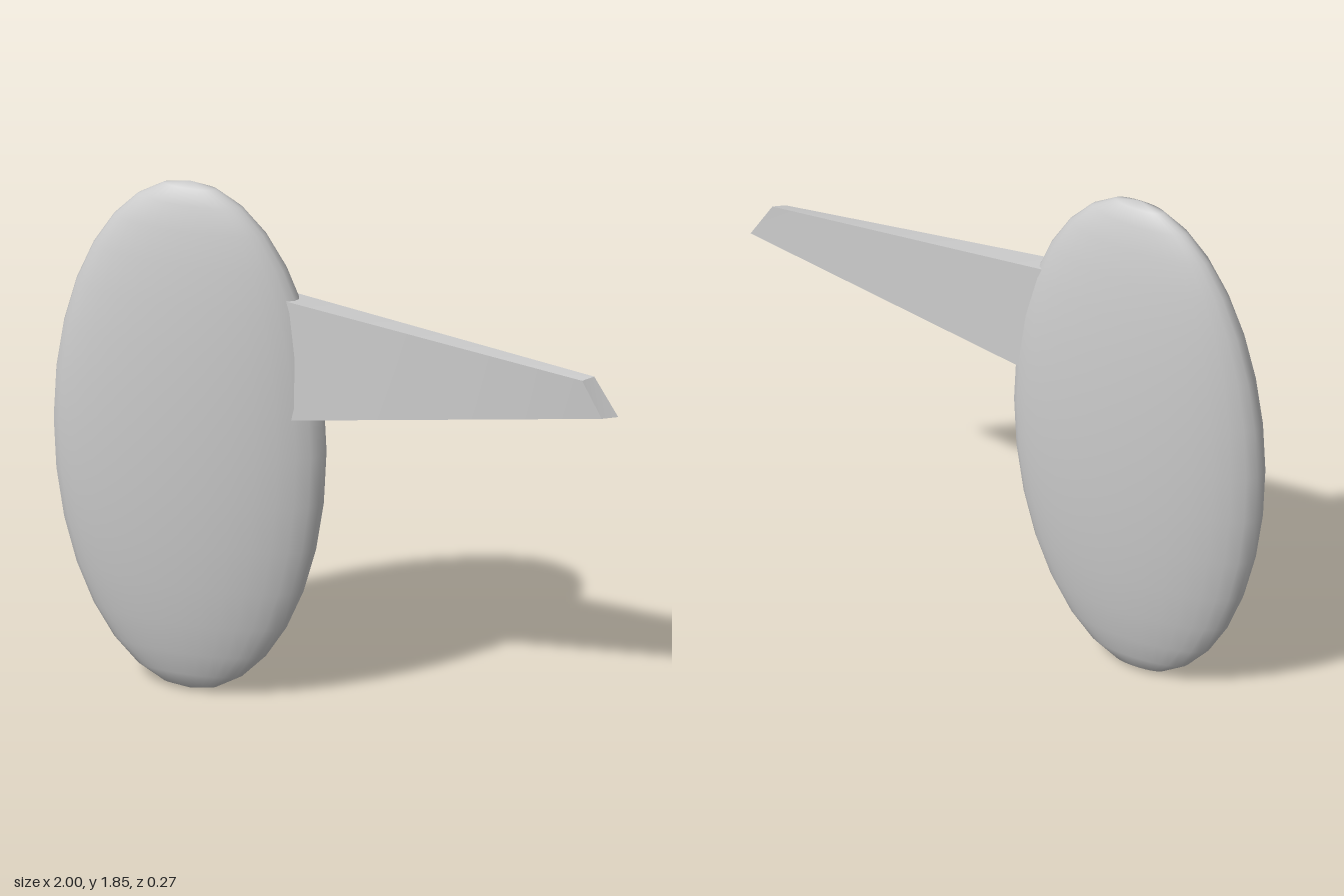
import * as THREE from 'three';

const material = new THREE.MeshStandardMaterial({ color: 0xcccccc });

// Flattened oval body
function makeBody() {
  const geometry = new THREE.SphereGeometry(1, 32, 16);
  geometry.scale(0.483, 0.925, 0.137);
  const body = new THREE.Mesh(geometry, material);
  body.name = 'body';
  body.position.set(-0.517, 0.925, 0);
  return body;
}

// Tapering arm: a box whose corners move to the root and the slanted tip
function makeArm() {
  const root = {
    topBack: [-0.2, 1.484, -0.04], topFront: [-0.2, 1.484, 0.042],
    bottomBack: [-0.2, 1.055, -0.052], bottomFront: [-0.2, 1.055, 0.081],
  };
  const tip = {
    topBack: [0.915, 1.35, 0], topFront: [0.885, 1.345, 0.036],
    bottomBack: [1, 1.215, 0], bottomFront: [0.955, 1.217, 0.037],
  };
  const geometry = new THREE.BoxGeometry(1, 1, 1, 8, 1, 1);
  const p = geometry.attributes.position;
  const a = new THREE.Vector3();
  const b = new THREE.Vector3();
  for (let i = 0; i < p.count; i++) {
    const corner = (p.getY(i) > 0 ? 'top' : 'bottom') + (p.getZ(i) > 0 ? 'Front' : 'Back');
    a.fromArray(root[corner]).lerp(b.fromArray(tip[corner]), p.getX(i) + 0.5);
    p.setXYZ(i, a.x, a.y, a.z);
  }
  geometry.computeVertexNormals();
  const arm = new THREE.Mesh(geometry, material);
  arm.name = 'arm';
  return arm;
}

export function createModel() {
  const model = new THREE.Group();
  model.name = 'ovalWithArm';
  model.add(makeBody(), makeArm());
  return model;
}
